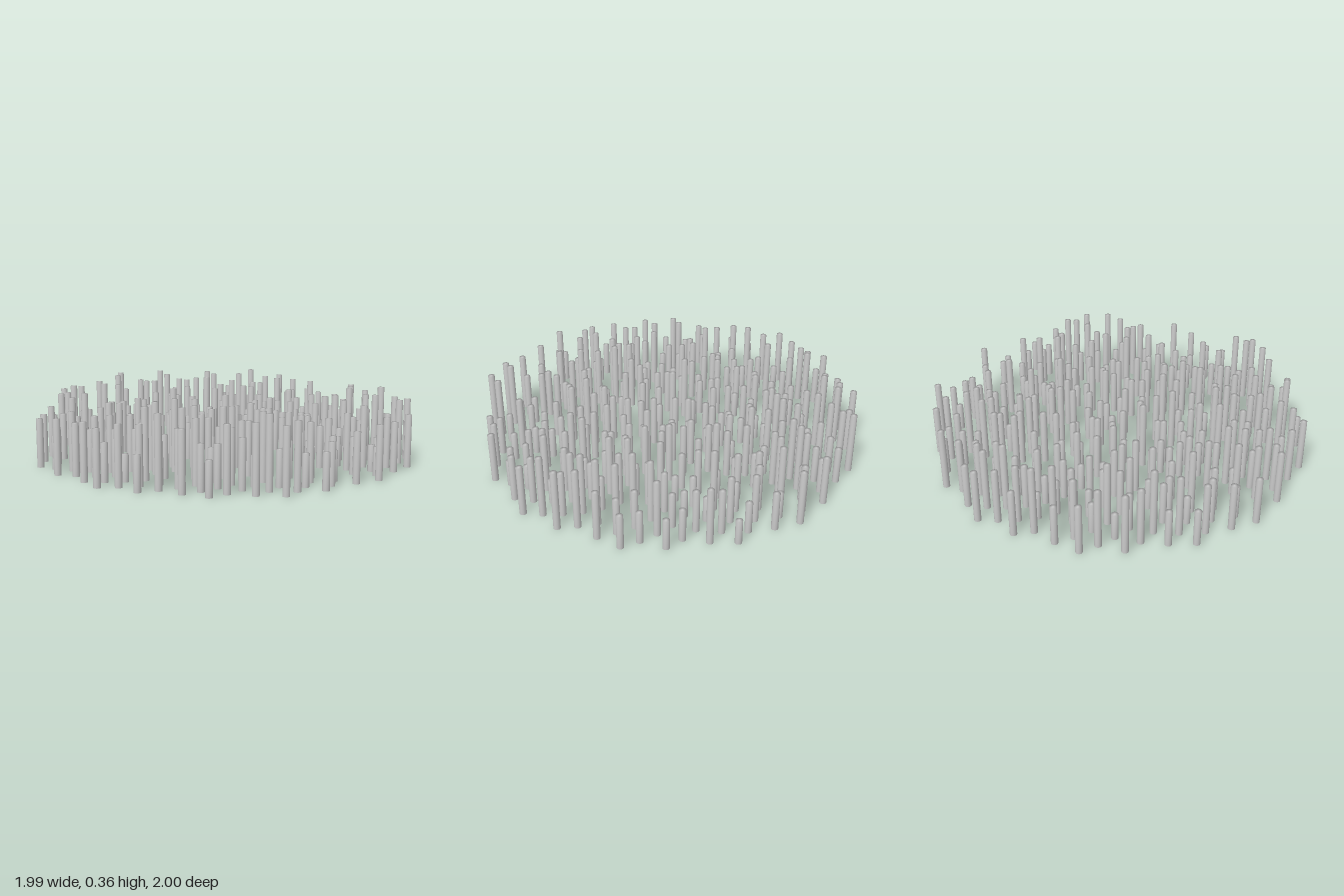
import * as THREE from 'three';
import { mergeVertices } from 'three/addons/utils/BufferGeometryUtils.js';

const COUNT = 300;
const GOLDEN_ANGLE = Math.PI * (3 - Math.sqrt(5));
const SPACING = 0.058;
const PIN_RADIUS = 0.018;
const MIN_HEIGHT = 0.13;
const MAX_HEIGHT = 0.365;

// Heights of the pins that stand out along the rim
const RIM_HEIGHTS = {
  213: 0.35, 217: 0.36, 234: 0.32, 252: 0.36, 255: 0.27, 260: 0.31, 264: 0.33,
  265: 0.29, 266: 0.3, 269: 0.25, 271: 0.29, 273: 0.21, 276: 0.25, 277: 0.25,
  281: 0.31, 282: 0.18, 284: 0.28, 285: 0.32, 286: 0.245, 287: 0.17, 288: 0.13,
  289: 0.19, 290: 0.27, 291: 0.33, 292: 0.28, 294: 0.26, 295: 0.32, 296: 0.29,
  297: 0.25, 298: 0.27, 299: 0.28,
};

// Small seeded generator
function seeded(seed) {
  let s = seed;
  return () => {
    s = (s * 16807) % 2147483647;
    return s / 2147483647;
  };
}

// Capped cylinder standing on y = 0, with normals smoothed over the cap edges
function pinGeometry(height) {
  const cylinder = new THREE.CylinderGeometry(PIN_RADIUS, PIN_RADIUS, height, 12);
  cylinder.deleteAttribute('normal');
  cylinder.deleteAttribute('uv');
  const geometry = mergeVertices(cylinder, 1e-5);
  geometry.computeVertexNormals();
  return geometry.translate(0, height / 2, 0);
}

export function createModel() {
  const group = new THREE.Group();
  group.name = 'pinField';
  const material = new THREE.MeshStandardMaterial({ color: 0xcccccc });
  const random = seeded(4321);

  // Upright round pins of varied height, laid out in a sunflower spiral
  for (let i = 0; i < COUNT; i++) {
    const radius = SPACING * Math.sqrt(i + 0.5);
    const angle = i * GOLDEN_ANGLE;
    const x = radius * Math.cos(angle) - 0.0075;
    const z = -radius * Math.sin(angle);

    // Pins are lower in a band across the middle and towards the two sides
    let limit = MAX_HEIGHT;
    if (Math.abs(x - 0.02) < 0.06) limit = 0.27;
    else if (Math.abs(x) > 0.86) limit = 0.3;
    const height = MIN_HEIGHT + (MAX_HEIGHT - MIN_HEIGHT) * random();

    const pin = new THREE.Mesh(pinGeometry(RIM_HEIGHTS[i] ?? Math.min(height, limit)), material);
    pin.name = `pin${i + 1}`;
    pin.position.set(x, 0, z);
    group.add(pin);
  }
  return group;
}
